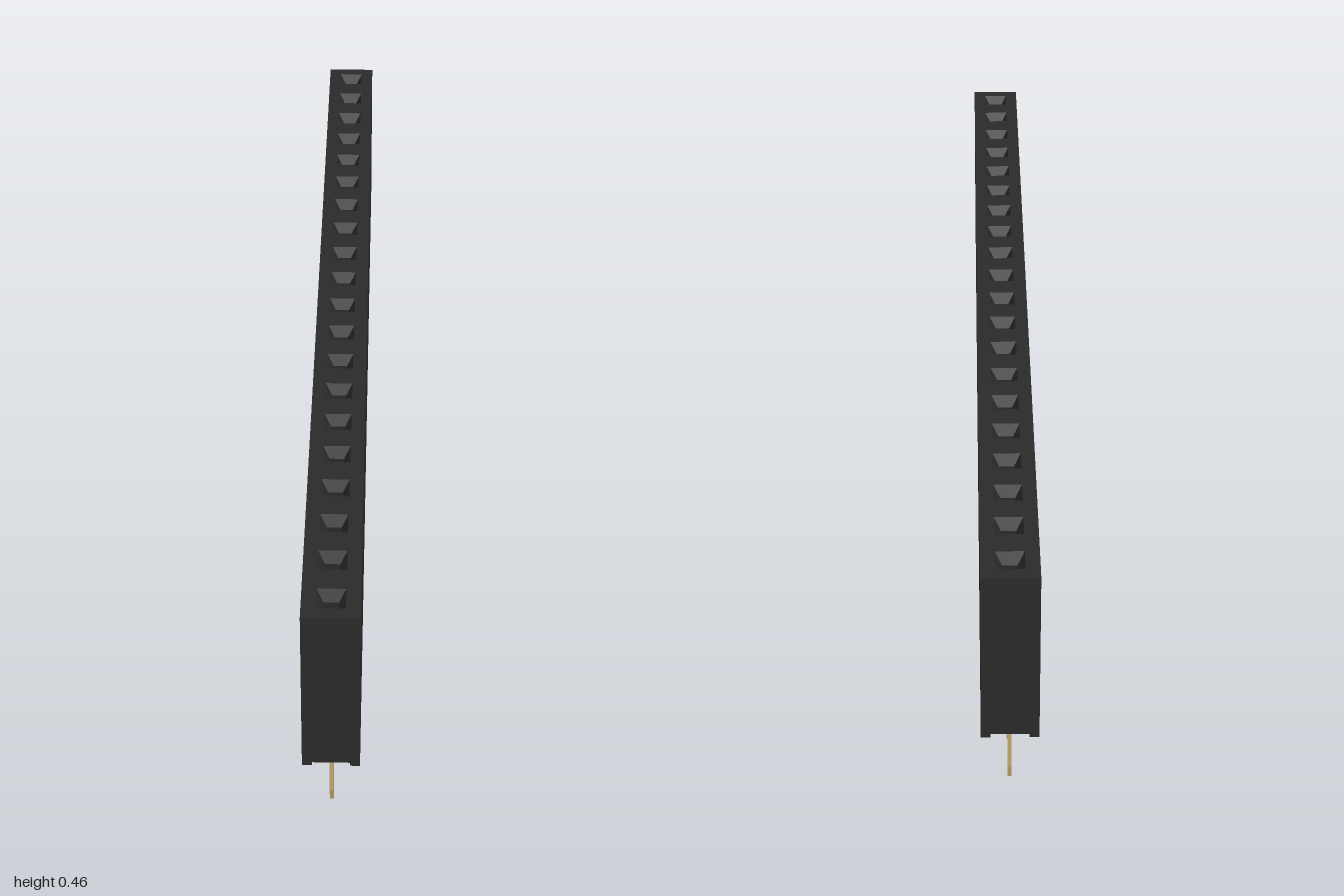
import * as THREE from 'three';

const COUNT = 20, PITCH = 0.1;
const TOP = 0.458, BOTTOM = 0.125, CHANNEL = 0.132, HALF = 0.05;

const polygon = (pts) => new THREE.Shape(pts.map(([x, y]) => new THREE.Vector2(x, y)));
const square = (cx, cy, h) => [[cx - h, cy - h], [cx + h, cy - h], [cx + h, cy + h], [cx - h, cy + h]];

// Drops the top faces of an extruded block so that the perforated face can close it
function openTop(geometry) {
  const p = geometry.attributes.position, kept = [];
  for (let i = 0; i < p.count; i += 3) {
    if ([0, 1, 2].every((k) => p.getY(i + k) > TOP - 1e-5)) continue;
    for (let k = 0; k < 3; k++) kept.push(p.getX(i + k), p.getY(i + k), p.getZ(i + k));
  }
  const out = new THREE.BufferGeometry();
  out.setAttribute('position', new THREE.Float32BufferAttribute(kept, 3));
  out.computeVertexNormals();
  return out;
}

export function createModel() {
  const group = new THREE.Group();
  const plastic = new THREE.MeshStandardMaterial({ color: 0x2b2b2b, flatShading: true });
  const gold = new THREE.MeshStandardMaterial({ color: 0xc8aa6e, flatShading: true });
  const add = (name, geometry, material, z = 0) => {
    const mesh = new THREE.Mesh(geometry, material);
    mesh.name = name;
    mesh.position.z = z;
    group.add(mesh);
  };
  const slots = Array.from({ length: COUNT }, (_, i) => (i - (COUNT - 1) / 2) * PITCH);

  // Housing: block with a shallow channel along the underside
  const profile = polygon([
    [-HALF, BOTTOM], [-0.033, BOTTOM], [-0.033, CHANNEL], [0.033, CHANNEL],
    [0.033, BOTTOM], [HALF, BOTTOM], [HALF, TOP], [-HALF, TOP],
  ]);
  const block = new THREE.ExtrudeGeometry(profile, { depth: 2, bevelEnabled: false });
  add('housing', openTop(block.translate(0, 0, -1)), plastic);

  // Top face with a square opening for every socket
  const face = polygon([[-HALF, -1], [HALF, -1], [HALF, 1], [-HALF, 1]]);
  for (const z of slots) face.holes.push(new THREE.Path(polygon(square(0, z, 0.025)).getPoints()));
  add('topFace', new THREE.ShapeGeometry(face).rotateX(-Math.PI / 2).translate(0, TOP, 0), plastic);

  // Socket: funnel mouth, straight square shaft and floor, facing inward
  const r = Math.SQRT2;
  const socket = new THREE.LatheGeometry(
    [[0.025 * r, TOP], [0.013 * r, TOP - 0.02], [0.013 * r, 0.2], [0, 0.2]].map(([x, y]) => new THREE.Vector2(x, y)),
    4, Math.PI / 4);

  // Pin: thin flat blade with a tapered tip
  const blade = polygon([
    [-0.006, 0], [0.006, 0], [0.011, 0.025], [0.011, 0.14], [-0.011, 0.14], [-0.011, 0.025],
  ]);
  const pin = new THREE.ExtrudeGeometry(blade, { depth: 0.007, bevelEnabled: false });
  pin.translate(0, 0, -0.0035).rotateY(Math.PI / 2);

  slots.forEach((z, i) => {
    add(`socket${i + 1}`, socket, plastic, z);
    add(`pin${i + 1}`, pin, gold, z);
  });
  return group;
}
